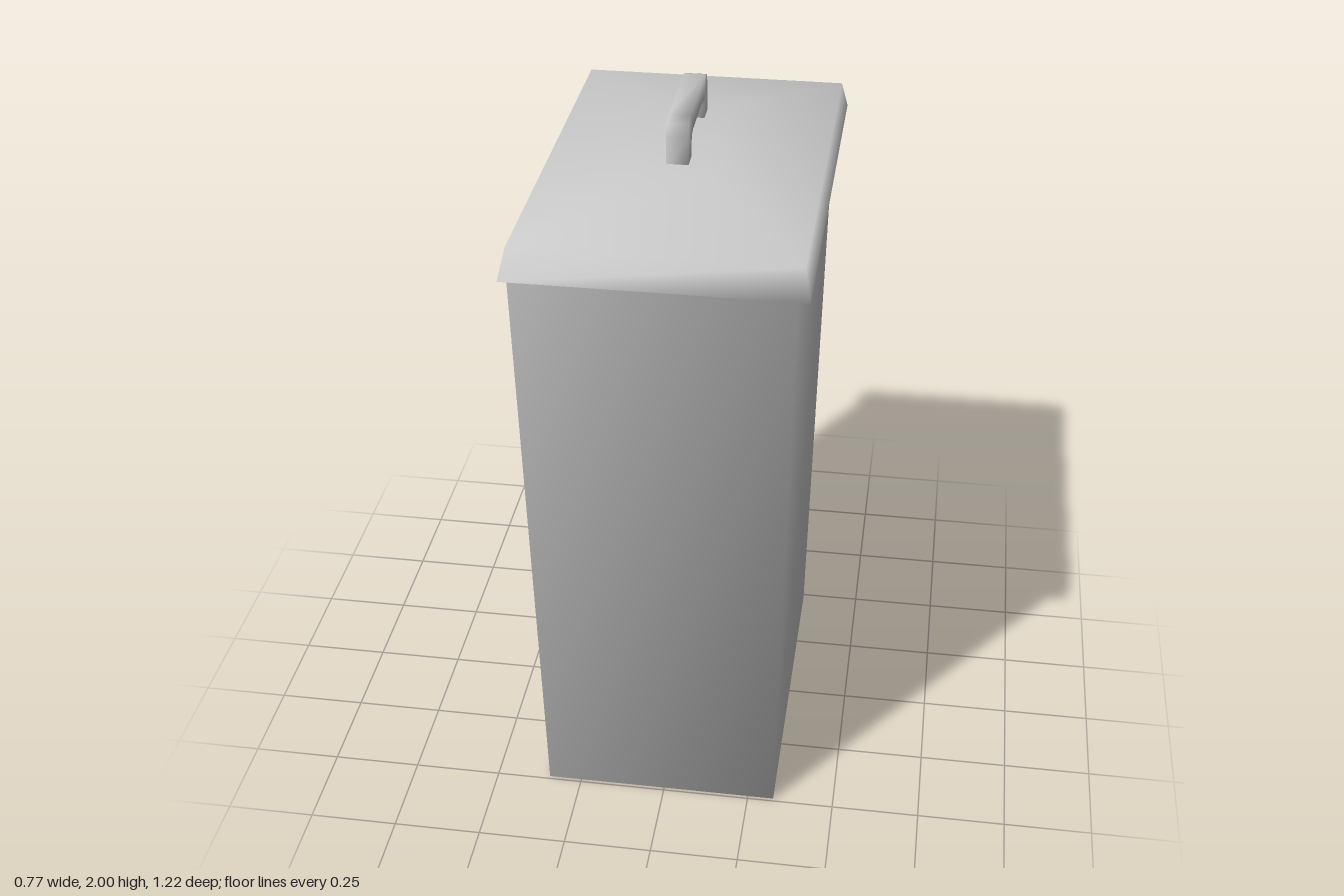
import * as THREE from 'three';

const material = new THREE.MeshStandardMaterial({ color: 0xcccccc });

// Smooth skin through four-cornered rings; caps may share corners or stay crisp.
function loft(name, rings, startCap, endCap) {
  const points = rings.flat();
  const index = [];
  const n = rings.length;
  for (let i = 0; i < n - 1; i++) {
    for (let j = 0; j < 4; j++) {
      const a = i * 4 + j, b = i * 4 + (j + 1) % 4;
      index.push(a, b, b + 4, a, b + 4, a + 4);
    }
  }
  const cap = (ring, first, mode, flip) => {
    if (mode === 'none') return;
    let s = first;
    if (mode === 'sharp') {
      s = points.length;
      points.push(...ring);
    }
    if (flip) index.push(s, s + 2, s + 1, s, s + 3, s + 2);
    else index.push(s, s + 1, s + 2, s, s + 2, s + 3);
  };
  cap(rings[0], 0, startCap, true);
  cap(rings[n - 1], (n - 1) * 4, endCap, false);

  const geometry = new THREE.BufferGeometry();
  geometry.setAttribute('position', new THREE.Float32BufferAttribute(points.flat(), 3));
  geometry.setIndex(index);
  geometry.computeVertexNormals();
  const mesh = new THREE.Mesh(geometry, material);
  mesh.name = name;
  return mesh;
}

// Level rectangle, counter-clockwise from above
const rect = (y, x0, x1, z0, z1) => [[x0, y, z1], [x1, y, z1], [x1, y, z0], [x0, y, z0]];

export function createModel() {
  const group = new THREE.Group();
  group.name = 'lidded bin';

  // Tapered container, sitting slightly off the lid's centre
  group.add(loft('body', [
    rect(0, -0.345, 0.325, -0.483, 0.49),
    rect(1.738, -0.37, 0.354, -0.57, 0.58),
  ], 'smooth', 'none'));

  // Overhanging lid: flared lip, shoulder, gentle slope, flat top
  group.add(loft('lid', [
    rect(1.735, -0.387, 0.387, -0.608, 0.608),
    rect(1.815, -0.37, 0.37, -0.577, 0.577),
    rect(1.88, -0.09, 0.09, -0.232, 0.232),
  ], 'sharp', 'smooth'));

  // Handle arch: outer z, outer y, inner z, inner y for one half, then mirrored
  const half = [
    [0.181, 1.87, 0.124, 1.87],
    [0.181, 1.955, 0.124, 1.92],
    [0.17, 1.988, 0.115, 1.938],
    [0.138, 2, 0.095, 1.945],
  ];
  const arch = [...half, ...half.map(([a, b, c, d]) => [-a, b, -c, d]).reverse()];
  group.add(loft('handle', arch.map(([oz, oy, iz, iy]) => [
    [-0.03, oy, oz], [0.028, oy, oz], [0.028, iy, iz], [-0.03, iy, iz],
  ]), 'none', 'none'));

  return group;
}
